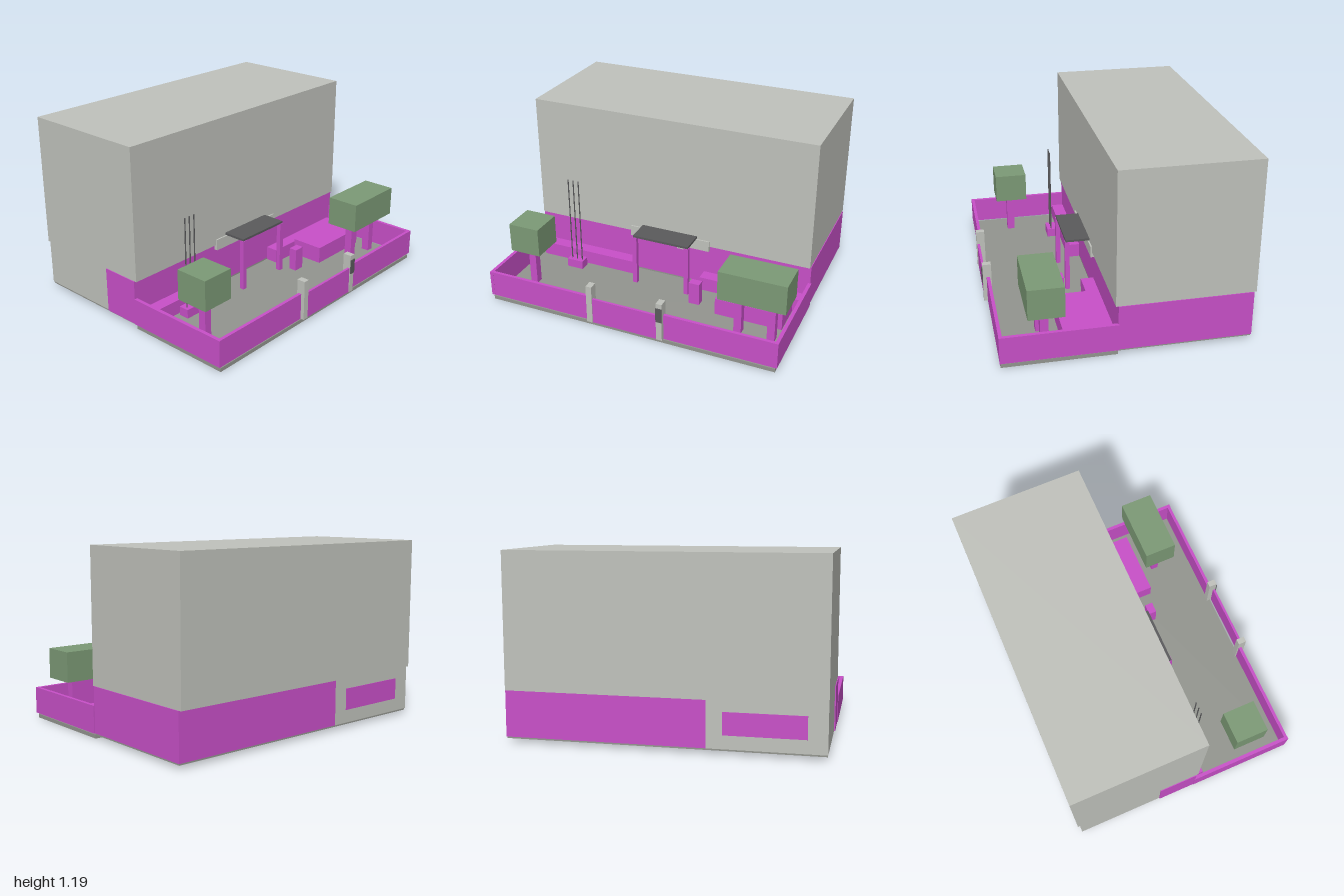
import * as THREE from 'three';

const mat = (name, color) => {
  const m = new THREE.MeshStandardMaterial({ color });
  m.name = name;
  return m;
};

export function createModel() {
  const paleGrey = mat('paleGrey', 0xc0c2bc);
  const magenta = mat('magenta', 0xc850c8);
  const leafGreen = mat('leafGreen', 0x7c9a76);
  const paving = mat('pavingGrey', 0x93958f);
  const dark = mat('darkGrey', 0x5a5a5c);

  const model = new THREE.Group();
  model.name = 'buildingWithForecourt';

  // Box given by its limits on each axis
  const box = (name, material, [x0, x1], [y0, y1], [z0, z1]) => {
    const mesh = new THREE.Mesh(new THREE.BoxGeometry(x1 - x0, y1 - y0, z1 - z0), material);
    mesh.position.set((x0 + x1) / 2, (y0 + y1) / 2, (z0 + z1) / 2);
    mesh.name = name;
    model.add(mesh);
    return mesh;
  };

  // Ground slabs
  box('forecourtSlab', paving, [-0.985, 0.985], [0, 0.025], [0.06, 0.765]);
  box('buildingSlab', paving, [-0.985, 0.985], [0.024, 0.035], [-0.775, 0.06]);

  // Upper storeys and ground floor
  box('upperStoreys', paleGrey, [-0.99, 0.985], [0.33, 1.19], [-0.795, 0.075]);
  box('groundFloorMain', magenta, [-0.27, 0.99], [0.035, 0.33], [-0.78, 0.06]);
  box('groundFloorCorner', magenta, [-0.995, -0.27], [0.035, 0.33], [-0.2, 0.06]);
  box('groundFloorRear', paleGrey, [-0.988, -0.27], [0.035, 0.33], [-0.78, -0.2]);
  box('rearPanel', magenta, [-0.87, -0.37], [0.12, 0.26], [-0.784, -0.779]);

  // Entrance with canopy
  box('entranceLintel', paleGrey, [-0.29, 0.29], [0.295, 0.37], [0.055, 0.085]);
  box('entranceSign', paleGrey, [0.05, 0.11], [0.26, 0.295], [0.055, 0.068]);
  box('canopyRoof', dark, [-0.2, 0.2], [0.375, 0.39], [0.075, 0.235]);

  // Paired parts on both sides
  for (const s of [-1, 1]) {
    const span = (a, b) => (s > 0 ? [a, b] : [-b, -a]);
    box('canopyColumn', magenta, span(0.173, 0.204), [0.025, 0.376], [0.21, 0.24]);
    box('facadePlanter', magenta, span(0.25, 0.955), [0.025, 0.12], [0.06, 0.145]);
    box('sideWall', magenta, span(0.975, 0.998), [0.035, 0.21], [0.055, 0.77]);
    box('frontWall', magenta, span(0.225, 0.985), [0.035, 0.21], [0.748, 0.769]);
    box('gatePost', paleGrey, span(0.222, 0.262), [0.035, 0.3], [0.737, 0.793]);
  }

  // Gate and post plaque
  box('gate', magenta, [-0.222, 0.222], [0.035, 0.21], [0.772, 0.788]);
  box('postPlaque', dark, [0.222, 0.262], [0.17, 0.268], [0.792, 0.799]);

  // Flagpoles on a plinth
  box('flagpolePlinth', magenta, [-0.72, -0.603], [0.025, 0.085], [0.165, 0.235]);
  for (const x of [-0.696, -0.658, -0.619]) {
    const pole = new THREE.Mesh(new THREE.CylinderGeometry(0.004, 0.004, 0.62, 8), dark);
    pole.position.set(x, 0.385, 0.205);
    pole.name = 'flagpole';
    model.add(pole);
  }

  // Block trees
  box('rightTreeCrown', leafGreen, [-0.93, -0.715], [0.3, 0.497], [0.375, 0.597]);
  box('leftTreeCrown', leafGreen, [0.545, 0.985], [0.3, 0.497], [0.375, 0.597]);
  for (const x of [-0.825, 0.655, 0.875]) {
    box('treeTrunk', magenta, [x - 0.025, x + 0.025], [0.025, 0.301], [0.463, 0.515]);
  }

  // Forecourt blocks
  box('bollardBlock', magenta, [0.245, 0.32], [0.025, 0.18], [0.27, 0.325]);
  box('raisedBed', magenta, [0.45, 0.905], [0.025, 0.14], [0.15, 0.375]);

  return model;
}
